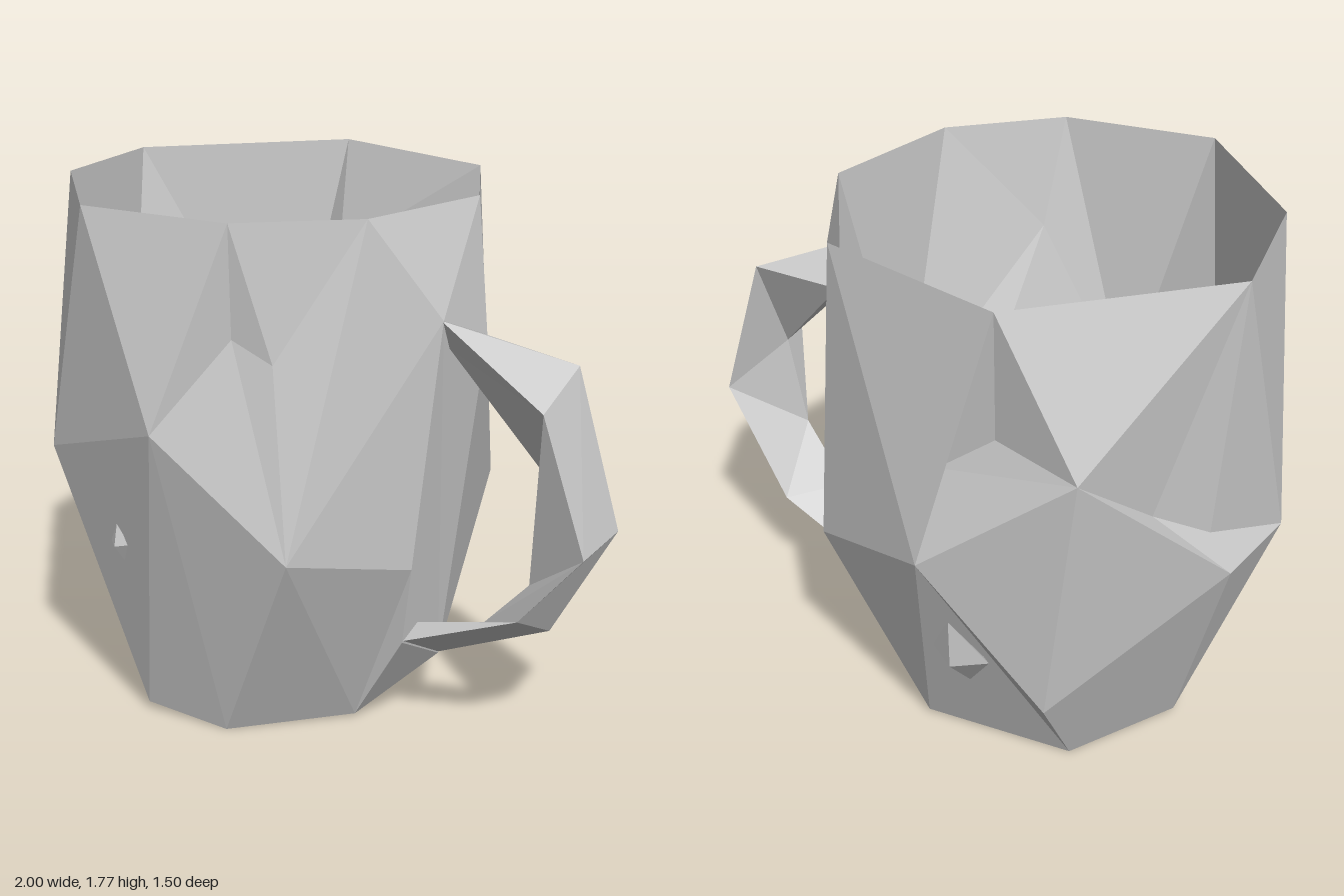
import * as THREE from 'three';

const material = new THREE.MeshStandardMaterial({ color: 0xcccccc, flatShading: true });
const CENTRE_X = -0.25;
const CENTRE_Z = 0.1;

// Turn a list of points, three per face, into a flat-shaded mesh
function facetMesh(name, corners) {
  const geometry = new THREE.BufferGeometry();
  geometry.setAttribute('position', new THREE.Float32BufferAttribute(corners.flat(), 3));
  geometry.computeVertexNormals();
  const mesh = new THREE.Mesh(geometry, material);
  mesh.name = name;
  return mesh;
}

const angle = (p) => Math.atan2(p[2] - CENTRE_Z, p[0] - CENTRE_X);
const same = (p, q) => p.every((v, i) => v === q[i]);
const addFace = (out, a, b, c) => {
  if (!same(a, b) && !same(b, c) && !same(c, a)) out.push(a, b, c);
};

// Join two rings of any point counts, always stepping to the nearest next angle
function stitch(out, ringA, ringB) {
  const a = [...ringA].sort((p, q) => angle(p) - angle(q));
  const b = [...ringB].sort((p, q) => angle(p) - angle(q));
  const at = (r, i) => r[i % r.length];
  const turn = (r, i) => angle(at(r, i)) + (i >= r.length ? 2 * Math.PI : 0);
  let i = 0, j = 0;
  while (i < a.length || j < b.length) {
    if (j >= b.length || (i < a.length && turn(a, i + 1) <= turn(b, j + 1))) {
      addFace(out, at(a, i), at(b, j), at(a, i + 1));
      i++;
    } else {
      addFace(out, at(a, i), at(b, j), at(b, j + 1));
      j++;
    }
  }
}

// Join a run of sections with equal point counts; flip picks the other diagonal
function loft(sections, flip) {
  const out = [];
  for (let s = 0; s < sections.length - 1; s++) {
    const n = sections[s].length;
    for (let k = 0; k < n; k++) {
      const p = sections[s][k], q = sections[s][(k + 1) % n];
      const p2 = sections[s + 1][k], q2 = sections[s + 1][(k + 1) % n];
      addFace(out, p, p2, flip ? q2 : q);
      addFace(out, flip ? p : p2, q2, q);
    }
  }
  return out;
}

export function createModel() {
  const model = new THREE.Group();
  model.name = 'mug';

  // Rings of the body, from the foot to the rim
  const foot = [
    [0.16, 0.01, 0.12], [-0.13, 0, 0.45], [-0.43, 0.03, 0.5],
    [-0.76, 0.015, 0.01], [-0.56, 0, -0.35], [-0.06, 0.01, -0.43],
  ];
  const belt = [
    [0.22, 0.72, 0.56], [-0.15, 1.12, 0.75], [-0.73, 0.92, 0.59],
    [-1, 0.76, 0.2], [-0.24, 0.89, -0.755], [0.25, 0.71, -0.56],
  ];
  const lowerBelt = [
    ...belt, [0.41, 0.62, 0.16], [0.36, 0.34, 0.135], [0.34, 0.2, -0.11],
    [-0.59, 0.35, -0.58], [-1, 0.8, -0.18],
  ];
  // The upper belt adds the top handle root and the side ledge
  const upperBelt = [
    ...belt, [0.48, 1.44, 0.11], [0.48, 1.34, -0.14], [-0.72, 1.28, -0.65],
    [-0.91, 0.9, -0.15], [-0.81, 1.04, -0.35],
  ];
  // The shoulder adds a front and a back dent
  const shoulder = [
    ...upperBelt, [0.03, 1.41, 0.57], [0.15, 1.34, 0.525],
    [-0.26, 1.19, -0.66], [-0.44, 1.33, -0.63],
  ];
  const rim = [
    [0.42, 1.77, -0.17], [0.34, 1.77, 0.31], [0.05, 1.77, 0.6], [-0.45, 1.775, 0.69],
    [-0.87, 1.77, 0.31], [-0.97, 1.77, -0.15], [-0.47, 1.775, -0.69], [0.16, 1.77, -0.58],
  ];

  const wall = [];
  stitch(wall, [[-0.3, 0.01, 0.05]], foot);
  stitch(wall, foot, lowerBelt);
  stitch(wall, lowerBelt, upperBelt);
  stitch(wall, upperBelt, shoulder);
  stitch(wall, shoulder, rim);
  model.add(facetMesh('outerWall', wall));

  // Inside of the cup, from the rim down to the floor
  const innerBelt = [
    [0.25, 0.8, -0.44], [0.36, 0.8, 0.08], [0.08, 1.4, 0.52], [-0.2, 0.8, 0.63],
    [-0.6, 0.8, 0.54], [-0.86, 0.8, 0.28], [-0.93, 0.8, 0], [-0.62, 0.8, -0.52],
    [-0.42, 1.4, -0.57],
  ];
  const floor = [
    [0.22, 0.27, -0.03], [-0.08, 0.2, 0.4], [-0.48, 0.2, 0.39], [-0.75, 0.22, -0.08], [-0.11, 0.24, -0.42],
  ];
  const inside = [];
  stitch(inside, rim, innerBelt);
  stitch(inside, innerBelt, floor);
  stitch(inside, floor, [[-0.25, 0.2, 0.02]]);
  model.add(facetMesh('innerWall', inside));

  // Handle: three-sided sections (outer front, outer back, inner), ends sunk in the wall
  const sections = [
    [[0.47, 1.44, 0.11], [0.47, 1.34, -0.14], [0.47, 1.34, 0.06]],
    [[0.86, 1.23, 0.15], [0.83, 1.31, -0.11], [0.82, 0.97, 0.02]],
    [[1, 0.79, 0.12], [0.98, 0.8, -0.13], [0.78, 0.63, 0.055]],
    [[0.75, 0.5, 0.07], [0.76, 0.4, -0.12], [0.6, 0.44, 0.02]],
    [[0.35, 0.34, 0.13], [0.33, 0.2, -0.11], [0.35, 0.38, 0.05]],
  ];
  model.add(facetMesh('handle', [...loft(sections.slice(0, 2), true), ...loft(sections.slice(1), false)]));

  // Small chips standing proud of the wall
  const addChip = (name, position, scale, tilt) => {
    const chip = new THREE.Mesh(new THREE.OctahedronGeometry(1), material);
    chip.name = name;
    chip.position.set(...position);
    chip.scale.set(...scale);
    chip.rotation.x = tilt;
    model.add(chip);
  };
  addChip('frontChip', [-0.42, 0.66, 0.615], [0.04, 0.07, 0.03], 0.2);
  addChip('backChip', [-0.28, 0.46, -0.58], [0.11, 0.17, 0.06], -0.38);

  return model;
}
